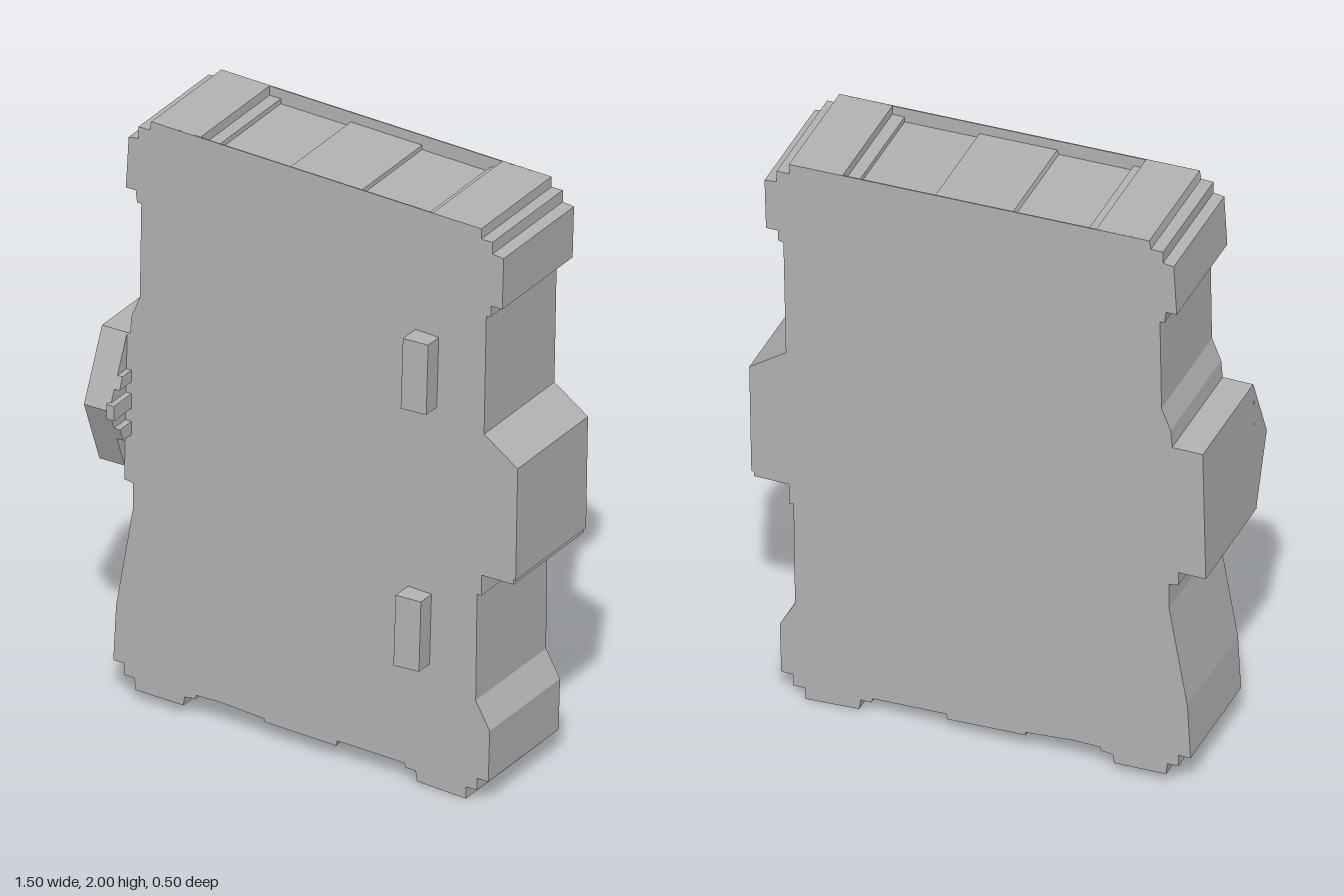
import * as THREE from 'three';

const grey = new THREE.MeshStandardMaterial({ color: 0xb2b2b2 });
grey.name = 'housingGrey';

const FRONT = 0.15, BACK = -0.25, SKIN = 0.004;

// Housing side profile, counter-clockwise from the lower left foot
const bottom = [
  [-0.62, 0.04], [-0.45, 0.035], [-0.445, 0.065], [-0.405, 0.07], [-0.405, 0.082],
  [-0.32, 0.083], [-0.16, 0.07], [-0.16, 0.06], [0.095, 0.05], [0.1, 0.068],
  [0.34, 0.06], [0.345, 0.045], [0.38, 0.045], [0.385, 0.01], [0.56, 0],
];
const right = [
  [0.56, 0.04], [0.6, 0.04], [0.6, 0.08], [0.64, 0.08], [0.645, 0.255], [0.595, 0.345],
  [0.6, 0.71], [0.615, 0.71], [0.615, 0.78], [0.73, 0.78], [0.73, 0.795], [0.738, 0.797],
  [0.745, 1.18], [0.625, 1.265], [0.633, 1.67], [0.65, 1.675], [0.65, 1.71], [0.69, 1.71],
  [0.695, 1.885], [0.655, 1.89], [0.655, 1.93], [0.615, 1.93], [0.615, 1.965],
];
const topRecess = [
  [0.44, 1.97], [0.44, 1.94], [0.4, 1.94], [0.4, 1.922], [0.155, 1.93],
  [0.155, 1.945], [-0.1, 1.953], [-0.105, 1.938], [-0.35, 1.945], [-0.35, 1.962],
  [-0.39, 1.963], [-0.39, 1.995],
];
const left = [
  [-0.565, 2], [-0.57, 1.97], [-0.61, 1.97], [-0.61, 1.93], [-0.645, 1.925], [-0.655, 1.75],
  [-0.62, 1.75], [-0.615, 1.71], [-0.6, 1.71], [-0.605, 1.39], [-0.635, 1.315], [-0.64, 1.255],
  [-0.74, 1.255], [-0.75, 0.797], [-0.66, 0.797], [-0.66, 0.75], [-0.63, 0.745],
  [-0.63, 0.655], [-0.69, 0.31], [-0.7, 0.12], [-0.66, 0.12], [-0.66, 0.08], [-0.625, 0.08],
];

function extrude(points, depth) {
  const shape = new THREE.Shape(points.map(([x, y]) => new THREE.Vector2(x, y)));
  return new THREE.ExtrudeGeometry(shape, { depth, bevelEnabled: false });
}

function addPart(group, name, geometry) {
  const mesh = new THREE.Mesh(geometry, grey);
  mesh.name = name;
  group.add(mesh);
}

// Prism along x from a (z, y) profile
function prismX(profile, x0, x1) {
  const geo = extrude(profile.map(([z, y]) => [-z, y]), x1 - x0);
  return geo.rotateY(Math.PI / 2).translate(x0, 0, 0);
}

// Depth of the sloped clip nose at a given height
const NOSE_Y = 1.025;
const noseZ = (y) => y > NOSE_Y
  ? FRONT + 0.095 * (1.255 - y) / (1.255 - NOSE_Y)
  : FRONT + 0.095 * (y - 0.797) / (NOSE_Y - 0.797);

export function createModel() {
  const model = new THREE.Group();
  model.name = 'railModule';

  // Core with the stepped recess in its top
  const core = extrude([...bottom, ...right, ...topRecess, ...left], FRONT - BACK - 2 * SKIN);
  addPart(model, 'housingCore', core.translate(0, 0, BACK + SKIN));

  // Thin side covers that close the recess at both faces
  const outline = [...bottom, ...right, ...left];
  addPart(model, 'frontCover', extrude(outline, SKIN).translate(0, 0, FRONT - SKIN));
  addPart(model, 'backCover', extrude(outline, SKIN).translate(0, 0, BACK));

  // Pointed clip nose, leaning slightly with the housing
  const nose = prismX([[FRONT, 0.797], [FRONT, 1.255], [0.245, NOSE_Y]], -0.745, -0.655);
  const p = nose.attributes.position;
  for (let i = 0; i < p.count; i++) {
    p.setX(i, p.getX(i) + (p.getY(i) - NOSE_Y) * 0.02);
  }
  nose.computeVertexNormals();
  addPart(model, 'clipNose', nose);

  // Grip teeth on the inner side of the clip nose
  [[1.09, 1.13], [1.0, 1.05], [0.91, 0.955]].forEach(([y0, y1], i) => {
    const tip = i === 1 ? [[0.25, y1], [0.25, y0]] : [[noseZ(y1), y1], [noseZ(y0), y0]];
    addPart(model, 'clipTooth' + (i + 1), prismX([[FRONT, y0], [FRONT, y1], ...tip], -0.662, -0.635));
  });

  // Raised latch pads, thinner toward the right edge
  const pad = [[0.345, 0.427], [0.43, 0.424], [0.437, 0.665], [0.353, 0.669]];
  [['lowerPad', 0, 0], ['upperPad', 0.026, 0.886]].forEach(([name, dx, dy]) => {
    const geo = extrude(pad, 0.07);
    const pos = geo.attributes.position;
    for (let i = 0; i < pos.count; i++) {
      if (pos.getZ(i) > 0.01 && pos.getX(i) > 0.4) pos.setZ(i, 0.06);
    }
    geo.computeVertexNormals();
    addPart(model, name, geo.translate(dx, dy, FRONT));
  });

  return model;
}
